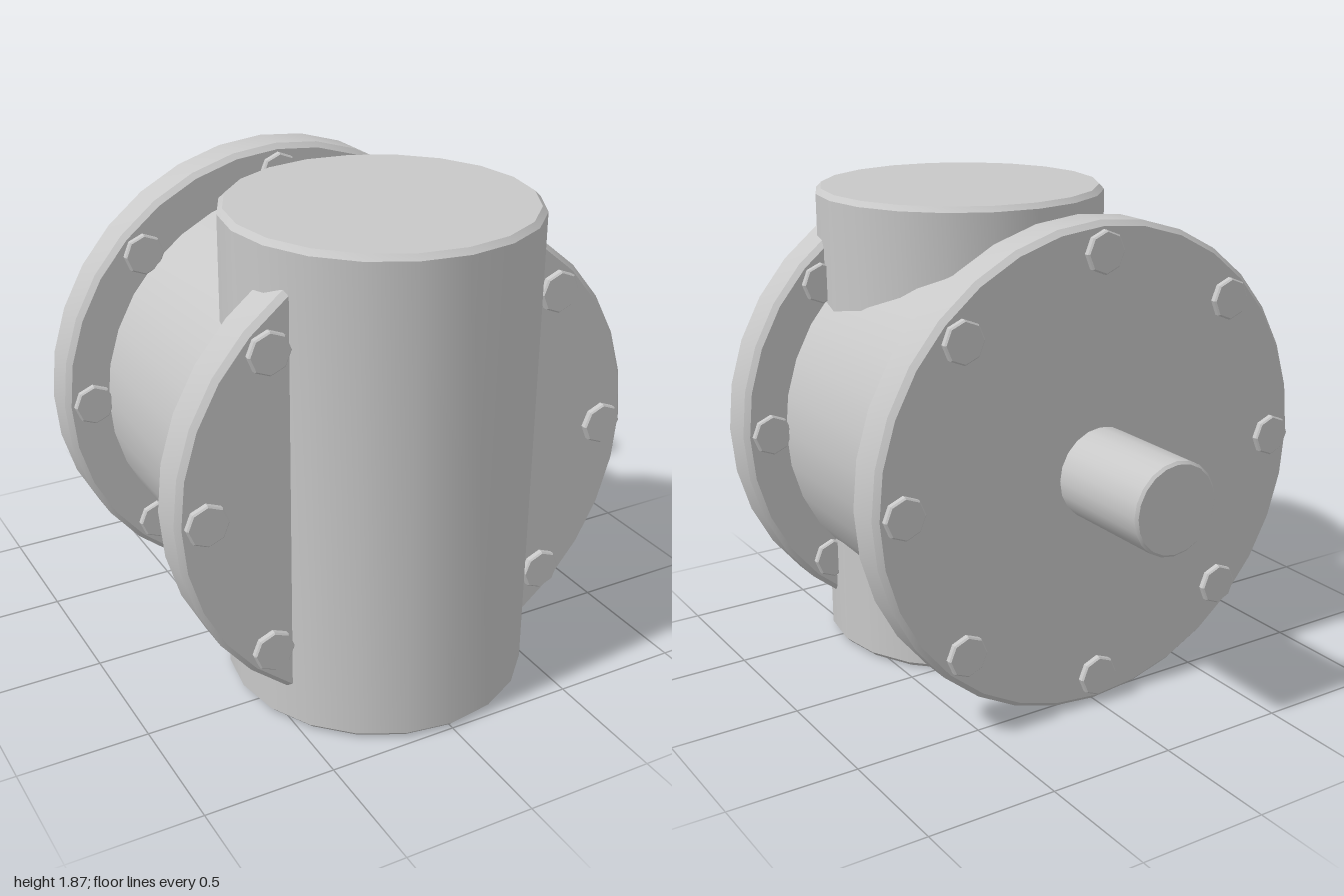
import * as THREE from 'three';
import { toCreasedNormals } from 'three/addons/utils/BufferGeometryUtils.js';

const MID_Y = 0.9325;      // height of the horizontal axis
const BOLT_CIRCLE = 0.82;

// Solid disc or rod along y with chamfered rims
function chamferedRod(radius, from, to, sides, bevel = 0.02) {
  const profile = [
    [0, from], [radius - bevel, from], [radius, from + bevel],
    [radius, to - bevel], [radius - bevel, to], [0, to],
  ].map(([r, y]) => new THREE.Vector2(r, y));
  return toCreasedNormals(new THREE.LatheGeometry(profile, sides), 0.5);
}

export function createModel() {
  const model = new THREE.Group();
  model.name = 'pipeHousing';
  const steel = new THREE.MeshStandardMaterial({ color: 0xc8c8c8 });
  steel.name = 'lightGreySteel';

  function add(name, geometry, x, y, z, parent = model) {
    const mesh = new THREE.Mesh(geometry, steel);
    mesh.name = name;
    mesh.position.set(x, y, z);
    parent.add(mesh);
    return mesh;
  }

  // Rods whose axis runs from back to front
  const alongZ = (...args) => chamferedRod(...args).rotateX(Math.PI / 2);

  // Upright pipe, horizontal body and drive shaft
  add('uprightPipe', chamferedRod(0.575, 0, 2 * MID_Y, 20), 0, 0, 0.42);
  add('body', alongZ(0.755, -0.45, 0.6, 32), 0, MID_Y, 0);
  add('shaft', alongZ(0.175, -1, -0.5, 20, 0.01), 0, MID_Y, 0);

  // Flanges with bolts passing through both faces
  const boltGeometry = alongZ(0.08, -0.11, 0.11, 8, 0.006);
  for (const [name, z, isFront] of [['frontFlange', 0.603, true], ['backFlange', -0.465, false]]) {
    const flange = new THREE.Group();
    flange.name = name;
    flange.position.set(0, MID_Y, z);
    model.add(flange);
    add(name + 'Disc', alongZ(0.93, -0.086, 0.086, 32), 0, 0, 0, flange);
    for (let i = 0; i < 8; i++) {
      // The upright pipe takes the place of the front top and bottom bolts
      if (isFront && i % 4 === 2) continue;
      const a = (i * Math.PI) / 4;
      add('bolt', boltGeometry, BOLT_CIRCLE * Math.cos(a), BOLT_CIRCLE * Math.sin(a), 0, flange);
    }
  }
  return model;
}
